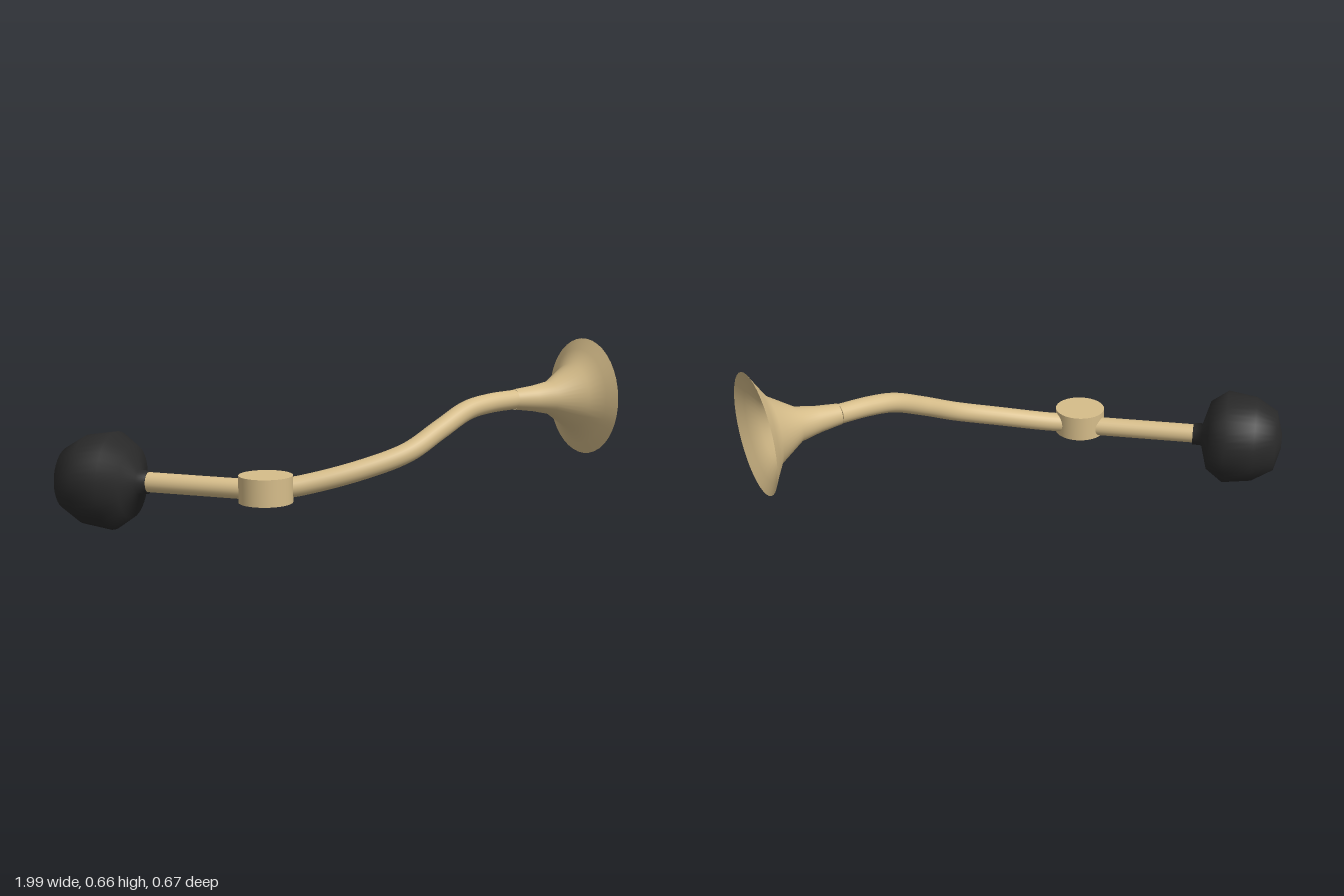
import * as THREE from 'three';

const brass = new THREE.MeshStandardMaterial({ color: 0xd6bd8a, side: THREE.DoubleSide });
brass.name = 'brass';
const rubber = new THREE.MeshStandardMaterial({ color: 0x292929 });
rubber.name = 'black rubber';

const V = (x, y, z) => new THREE.Vector3(x, y, z);
const UP = V(0, 1, 0);

function addMesh(group, name, geometry, material) {
  const mesh = new THREE.Mesh(geometry, material);
  mesh.name = name;
  group.add(mesh);
  return mesh;
}

// Turned profile of [distance along axis, radius], starting at origin and pointing along dir
function turned(group, name, profile, origin, dir, material) {
  const points = profile.map(([along, r]) => new THREE.Vector2(r, along));
  const mesh = addMesh(group, name, new THREE.LatheGeometry(points, 40), material);
  mesh.position.copy(origin);
  mesh.quaternion.setFromUnitVectors(UP, dir.clone().normalize());
  return mesh;
}

// Straight closed pipe between two points
function pipe(group, name, a, b, radius) {
  const dir = b.clone().sub(a);
  const mesh = addMesh(group, name, new THREE.CylinderGeometry(radius, radius, dir.length(), 24), brass);
  mesh.position.copy(a).lerp(b, 0.5);
  mesh.quaternion.setFromUnitVectors(UP, dir.normalize());
}

export function createModel() {
  const horn = new THREE.Group();
  horn.name = 'bulbHorn';

  // Squeeze bulb with short neck collar
  const neck = V(-0.675, 0.18, -0.07);
  turned(horn, 'squeezeBulb', [
    [0, 0.034], [0, 0.042], [0.035, 0.043], [0.06, 0.132], [0.125, 0.178],
    [0.235, 0.162], [0.315, 0.114], [0.338, 0.03], [0.339, 0],
  ], neck, V(-0.82, 0, -0.572), rubber);

  // Straight pipe from bulb to reed housing
  pipe(horn, 'bulbPipe', V(-0.69, 0.181, -0.08), V(-0.33, 0.175, 0.175), 0.036);

  // Drum-shaped reed housing
  const drum = addMesh(horn, 'reedHousing', new THREE.CylinderGeometry(0.095, 0.095, 0.095, 40), brass);
  drum.position.set(-0.323, 0.1875, 0.212);

  // Curved pipe rising to the bell
  const path = new THREE.CatmullRomCurve3([
    V(-0.29, 0.18, 0.205), V(-0.2, 0.193, 0.228), V(0, 0.24, 0.268), V(0.18, 0.295, 0.275),
    V(0.32, 0.363, 0.237), V(0.45, 0.422, 0.194), V(0.55, 0.439, 0.168), V(0.67, 0.445, 0.139),
  ]);
  addMesh(horn, 'curvedPipe', new THREE.TubeGeometry(path, 60, 0.036, 24), brass);

  // Closing disc at the bell end of the curved pipe
  const cap = addMesh(horn, 'pipeEnd', new THREE.CircleGeometry(0.036, 24), brass);
  cap.position.copy(path.getPoint(1));
  cap.quaternion.setFromUnitVectors(V(0, 0, 1), path.getTangent(1));

  // Flared open bell
  turned(horn, 'bell', [
    [0, 0.038], [0.08, 0.048], [0.155, 0.063], [0.25, 0.125], [0.285, 0.18], [0.309, 0.22],
  ], V(0.668, 0.445, 0.14), V(0.309, -0.003, -0.028), brass);

  return horn;
}
